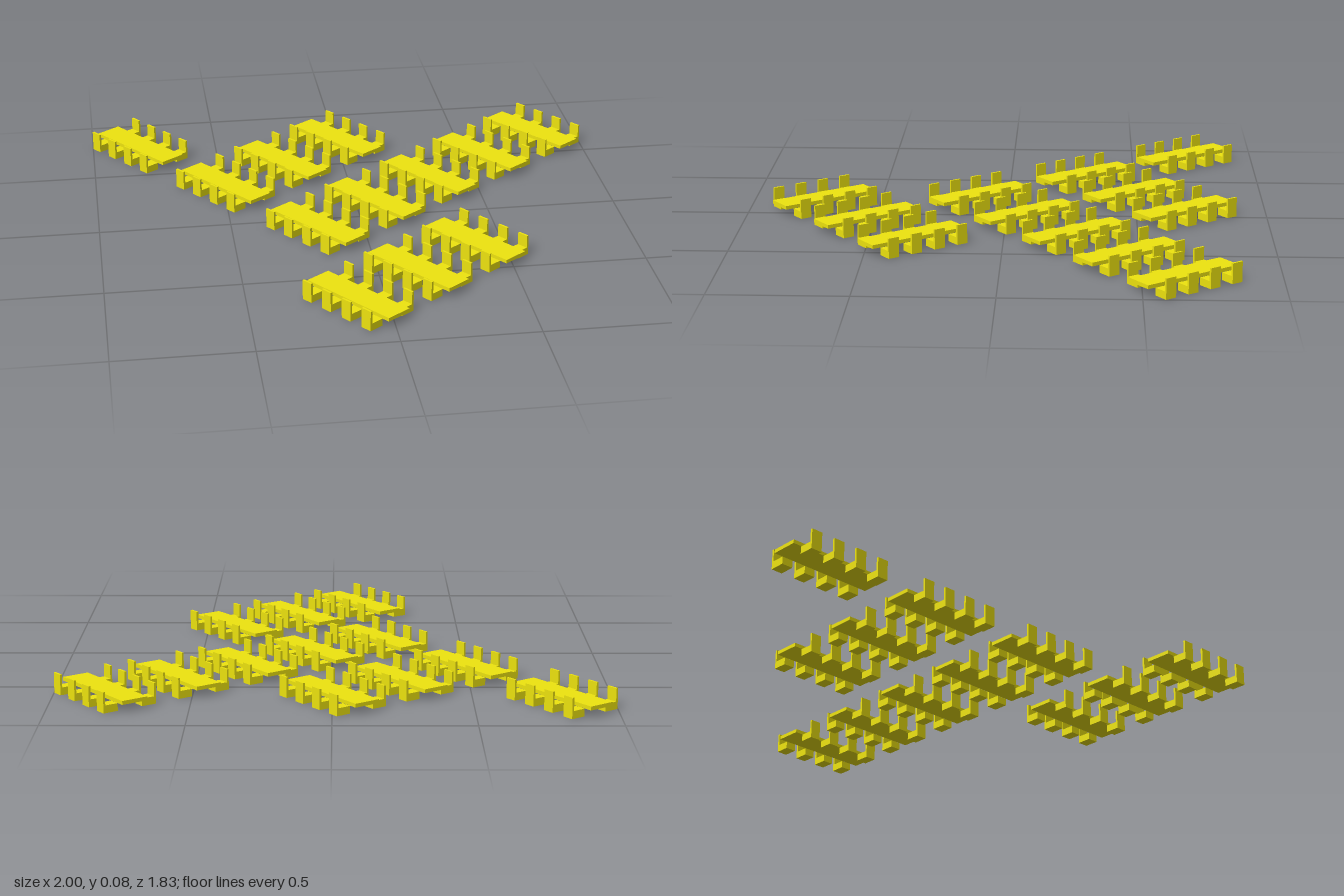
import * as THREE from 'three';

const material = new THREE.MeshStandardMaterial({ color: 0xeee40f, flatShading: true });

function box(name, w, h, d, x, y, z) {
  const mesh = new THREE.Mesh(new THREE.BoxGeometry(w, h, d), material);
  mesh.name = name;
  mesh.position.set(x, y, z);
  return mesh;
}

// Solid seat block with a thin, tall back on its outer (+z) side
function createChair() {
  const chair = new THREE.Group();
  chair.name = 'chair';
  chair.add(box('seat', 0.044, 0.028, 0.05, 0, 0.014, -0.033));
  chair.add(box('backrest', 0.044, 0.076, 0.008, 0, 0.038, -0.004));
  return chair;
}

// Long table along x with four chairs on each long side
function createTableSet() {
  const set = new THREE.Group();
  set.name = 'tableSet';
  set.add(box('tableTop', 0.408, 0.014, 0.103, 0, 0.036, 0));
  for (const side of [1, -1]) {
    for (let i = 0; i < 4; i++) {
      const chair = createChair();
      chair.position.set((i - 1.5) * 0.099, 0, side * 0.108);
      if (side < 0) chair.rotation.y = Math.PI;
      set.add(chair);
    }
  }
  return set;
}

export function createModel() {
  const model = new THREE.Group();
  model.name = 'diningTables';

  // Rows on a slanted grid: [row, first column, last column]
  const rows = [[-1, 0, 0], [0, 0, 2], [1, 0, 4], [2, -1, 1]];
  for (const [row, first, last] of rows) {
    for (let col = first; col <= last; col++) {
      const set = createTableSet();
      set.position.set(-0.494 + col * 0.247 + row * 0.316, 0, -0.303 - col * 0.19 + row * 0.413);
      set.rotation.y = -0.924;
      model.add(set);
    }
  }
  return model;
}
